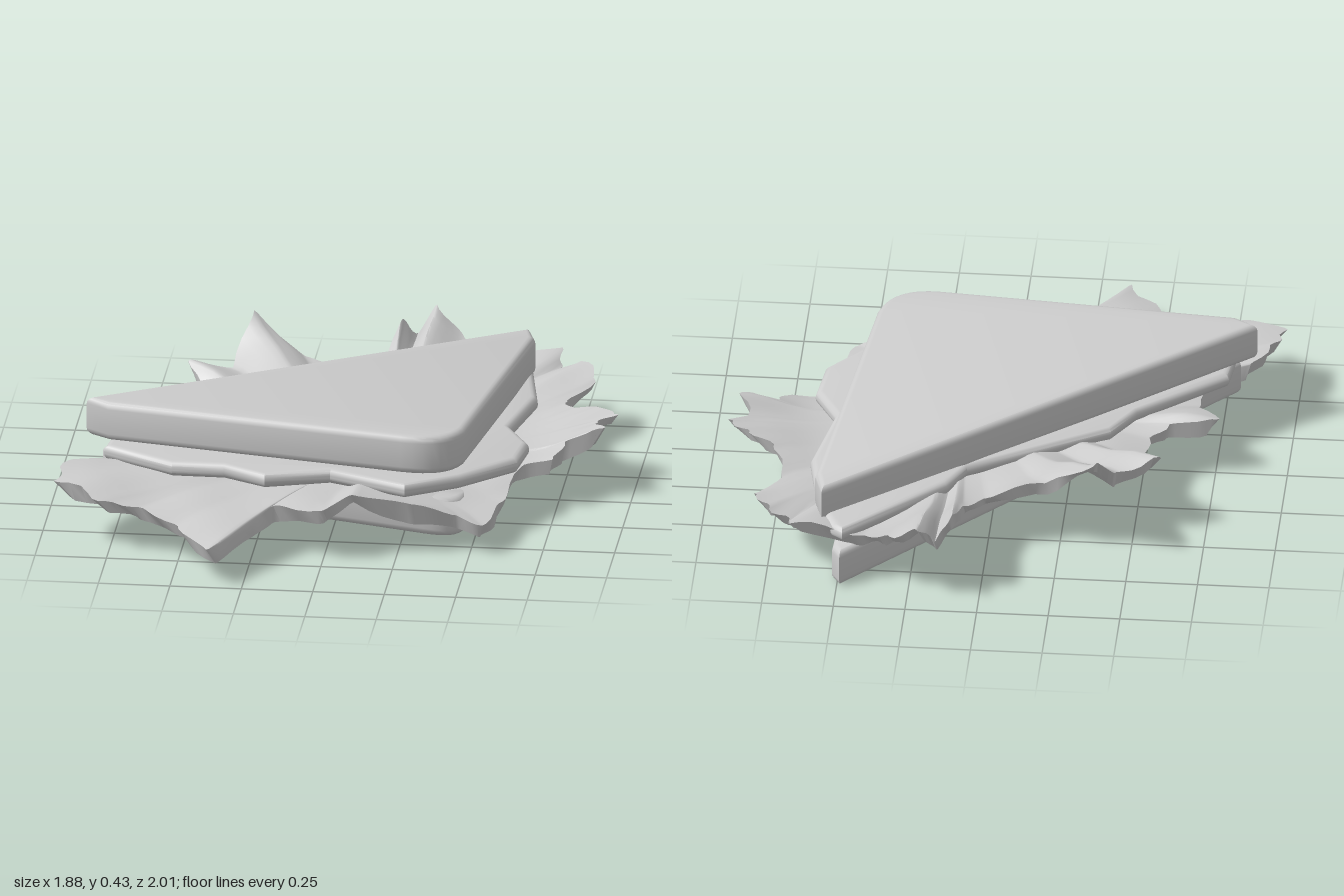
import * as THREE from 'three';
import { toCreasedNormals } from 'three/addons/utils/BufferGeometryUtils.js';

const grey = new THREE.MeshStandardMaterial({ color: 0xcccccc, side: THREE.DoubleSide });
grey.name = 'light grey';

// Extrude an outline of (x, z) points upwards, then tilt it: y = base + sx * x + sz * z
function slab(name, shape, thickness, bevel, base, sx, sz) {
  const extruded = new THREE.ExtrudeGeometry(shape, {
    depth: thickness - 2 * bevel, bevelEnabled: true, bevelSize: bevel, bevelOffset: -bevel,
    bevelThickness: bevel, bevelSegments: 4, curveSegments: 8,
  });
  extruded.rotateX(-Math.PI / 2).translate(0, bevel, 0);
  const p = extruded.attributes.position;
  for (let i = 0; i < p.count; i++) {
    p.setY(i, p.getY(i) + base + sx * p.getX(i) + sz * p.getZ(i));
  }
  const mesh = new THREE.Mesh(toCreasedNormals(extruded, 0.6), grey);
  mesh.name = name;
  return mesh;
}

// Triangular half slice: two sharp cut corners and one round crust corner
function breadShape([a, b, c, round, d, e, f]) {
  const s = new THREE.Shape();
  s.moveTo(a[0], -a[1]);
  s.lineTo(b[0], -b[1]);
  s.lineTo(c[0], -c[1]);
  s.quadraticCurveTo(round[0], -round[1], d[0], -d[1]);
  s.lineTo(e[0], -e[1]);
  s.lineTo(f[0], -f[1]);
  s.closePath();
  return s;
}

// Lettuce outline as [x, z, height]
const leafEdge = [
  [0.93, -0.2, 0.27], [0.86, -0.14, 0.25], [0.9, -0.03, 0.25], [0.78, 0, 0.21], [0.74, 0.09, 0.18],
  [0.63, 0.12, 0.16], [0.59, 0.35, 0.12], [0.55, 0.57, 0.11], [0.45, 0.56, 0.14], [0.3, 0.6, 0.18],
  [0.1, 0.65, 0.25], [0, 0.72, 0.2], [-0.18, 0.66, 0.18], [-0.25, 0.78, 0.15], [-0.37, 0.99, 0.14],
  [-0.5, 0.8, 0.15], [-0.65, 0.69, 0.18], [-0.78, 0.7, 0.2], [-0.94, 0.6, 0.23], [-0.92, 0.47, 0.25],
  [-0.85, 0.37, 0.22], [-0.73, 0.32, 0.2], [-0.68, 0.1, 0.2], [-0.76, -0.02, 0.24], [-0.6, -0.05, 0.21],
  [-0.53, -0.12, 0.2], [-0.53, -0.3, 0.23], [-0.59, -0.42, 0.32], [-0.45, -0.47, 0.26], [-0.39, -0.65, 0.42],
  [-0.2, -0.57, 0.27], [0, -0.58, 0.22], [0.07, -0.72, 0.25], [0.1, -0.89, 0.32], [0.15, -0.93, 0.25],
  [0.21, -1, 0.34], [0.32, -0.92, 0.24], [0.42, -0.84, 0.2], [0.66, -0.85, 0.25], [0.67, -0.77, 0.21],
  [0.75, -0.75, 0.24], [0.81, -0.63, 0.23], [0.72, -0.46, 0.19], [0.76, -0.32, 0.22], [0.86, -0.27, 0.25],
];

// Crumpled lettuce: rings run out over the upper leaf, fold at the rim and return under the lower leaf
function lettuce() {
  const curve = new THREE.CatmullRomCurve3(
    leafEdge.map(([x, z, y]) => new THREE.Vector3(x, y, z)), true, 'catmullrom', 0.15);
  const n = 270, rings = 16, last = 2 * rings + 1, cx = 0.12, cz = 0.05;
  const edge = Array.from({ length: n }, (_, i) => curve.getPoint(i / n));
  const pos = [], index = [];
  for (let r = 0; r <= last; r++) {
    const lower = r > rings;
    const t = (lower ? last - r : r) / rings;
    const [scale, drop, ripple, phase] = lower ? [0.965, 0.055, 0.014, 1.9] : [1, 0, 0.012, 0];
    edge.forEach((e, i) => {
      const ragged = scale * (1 + 0.012 * Math.sin(i * 1.3 + phase) * t ** 6);
      const x = cx + (e.x - cx) * t * ragged, z = cz + (e.z - cz) * t * ragged;
      const wave = Math.sin(13 * x + 5 * z + phase) * Math.cos(11 * z - 4 * x + 2 * phase)
        + 0.5 * Math.sin(25 * z + 17 * x - phase);
      const flat = 0.19 - 0.05 * x;
      pos.push(x, flat + (e.y - flat) * t ** 2.5 - drop * t * t + ripple * wave * t * t, z);
      if (r < last) {
        const j = (i + 1) % n, a = r * n + i, b = r * n + j;
        index.push(a, b, a + n, b, b + n, a + n);
      }
    });
  }
  const g = new THREE.BufferGeometry();
  g.setAttribute('position', new THREE.Float32BufferAttribute(pos, 3));
  g.setIndex(index);
  const mesh = new THREE.Mesh(toCreasedNormals(g, 0.8), grey);
  mesh.name = 'lettuce';
  return mesh;
}

export function createModel() {
  const group = new THREE.Group();
  group.name = 'sandwich';

  // Bread slices
  group.add(slab('bottomBread', breadShape([
    [-0.81, 0.33], [-0.78, 0.385], [0.32, 0.445], [0.46, 0.455], [0.465, 0.34], [0.52, -0.82], [0.49, -0.87],
  ]), 0.14, 0.025, 0.048, -0.095, 0));
  group.add(slab('topBread', breadShape([
    [-0.87, 0.3], [-0.79, 0.355], [0.25, 0.49], [0.42, 0.51], [0.46, 0.36], [0.59, -0.68], [0.56, -0.78],
  ]), 0.14, 0.025, 0.25, -0.032, 0.036));

  // Soft filling slice peeking out around the bread
  const filling = [
    [-0.8, 0.38], [-0.55, 0.5], [-0.37, 0.485], [-0.22, 0.55], [0, 0.46], [0.27, 0.55], [0.45, 0.42],
    [0.63, 0.22], [0.65, 0.05], [0.57, -0.1], [0.63, -0.4], [0.58, -0.7], [0.52, -0.84], [0.48, -0.87],
    [0.14, -0.55], [0.08, -0.43], [-0.4, -0.17], [-0.48, -0.04], [-0.78, 0.2],
  ].map(([x, z]) => new THREE.Vector2(x, -z));
  group.add(slab('filling', new THREE.Shape(filling), 0.056, 0.025, 0.197, -0.035, 0));

  group.add(lettuce());
  return group;
}
